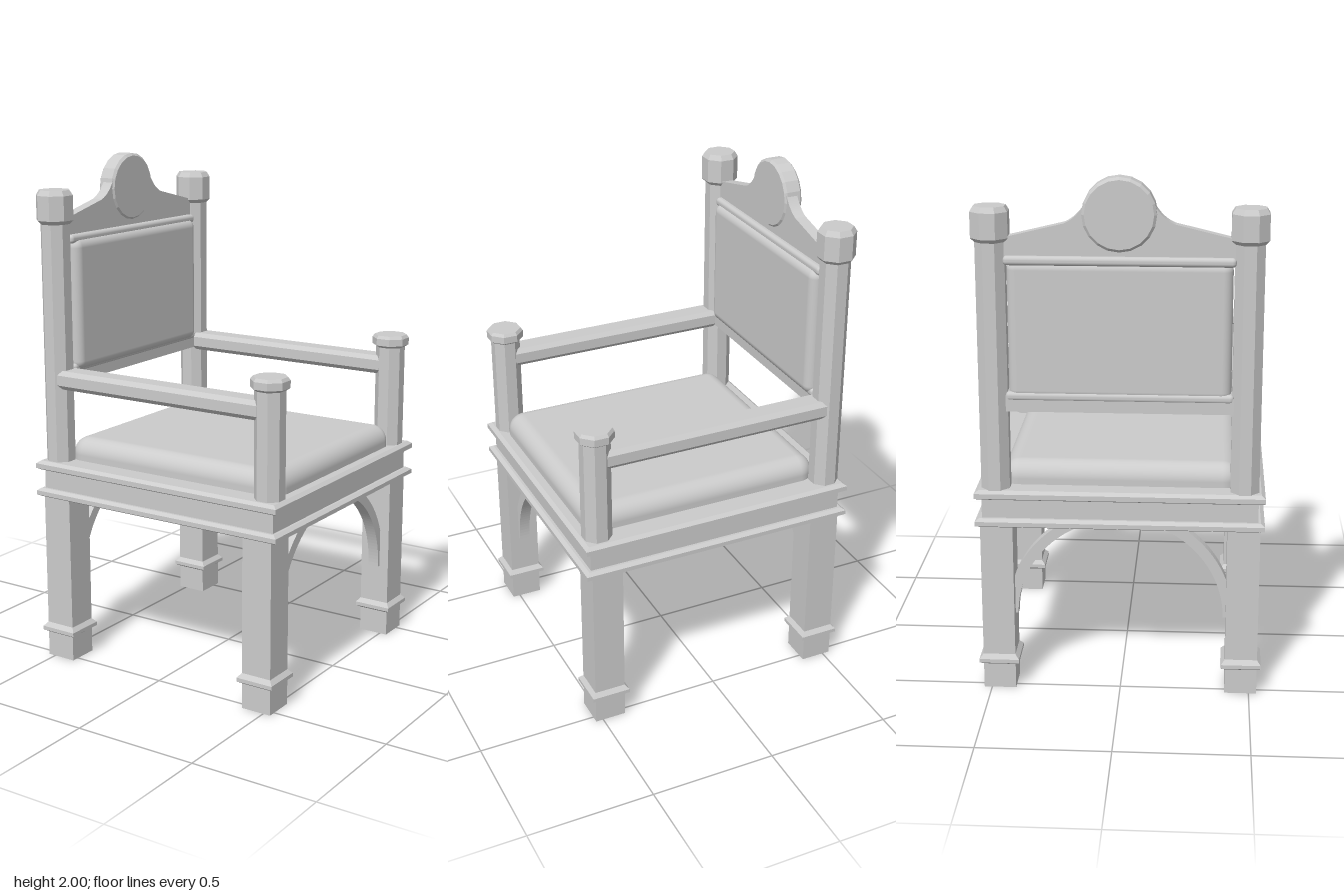
import * as THREE from 'three';
import { RoundedBoxGeometry } from 'three/addons/geometries/RoundedBoxGeometry.js';

const flat = new THREE.MeshStandardMaterial({ color: 0xcccccc, flatShading: true });
const smooth = new THREE.MeshStandardMaterial({ color: 0xcccccc });

export function createModel() {
  const chair = new THREE.Group();

  const add = (name, geometry, x, y, z, material = flat) => {
    const mesh = new THREE.Mesh(geometry, material);
    mesh.name = name;
    mesh.position.set(x, y, z);
    chair.add(mesh);
    return mesh;
  };

  // Prism with flats along the axes; profile is [half width, y] from bottom to top
  const prism = (sides, profile) => {
    const k = 1 / Math.cos(Math.PI / sides);
    const points = profile.map(([r, y]) => new THREE.Vector2(r * k, y));
    return new THREE.LatheGeometry(points, sides, Math.PI / sides);
  };

  // Shape drawn in the z-y plane, given thickness along x
  const slab = (shape, depth) =>
    new THREE.ExtrudeGeometry(shape, { depth, bevelEnabled: false, curveSegments: 16 })
      .translate(0, 0, -depth / 2).rotateY(Math.PI / 2);

  // Seat frame with projecting lips above and below
  const frame = prism(4, [
    [0, 0.675], [0.535, 0.675], [0.55, 0.683], [0.55, 0.7], [0.535, 0.71], [0.525, 0.71],
    [0.525, 0.785], [0.535, 0.785], [0.55, 0.793], [0.55, 0.812], [0.535, 0.823], [0, 0.823],
  ]);
  add('seatFrame', frame, 0, 0, 0).scale.set(1.013, 1, 0.992);

  // Seat cushion
  add('seatCushion', new RoundedBoxGeometry(0.98, 0.16, 0.9, 5, 0.065), 0.02, 0.83, 0, smooth);

  const leg = prism(4, [
    [0, 0], [0.062, 0], [0.062, 0.1], [0.077, 0.11], [0.077, 0.125],
    [0.062, 0.142], [0.062, 0.69], [0, 0.69],
  ]);
  const backPost = prism(8, [
    [0, 0.81], [0.054, 0.81], [0.054, 1.76], [0.068, 1.775],
    [0.068, 1.87], [0.056, 1.89], [0, 1.89],
  ]);
  const frontPost = prism(8, [
    [0, 0.81], [0.054, 0.81], [0.054, 1.23], [0.068, 1.24],
    [0.068, 1.268], [0.06, 1.28], [0, 1.28],
  ]);

  // Curved bracket between leg and frame
  const arc = new THREE.Shape();
  arc.absarc(0, 0, 0.435, 0, 1.22, false);
  arc.absarc(0, 0, 0.395, 1.22, 0, true);
  arc.closePath();
  const bracket = slab(arc, 0.045);

  // Armrest section with chamfered edges
  const armSection = new THREE.Shape([
    [-0.05, -0.02], [-0.035, -0.037], [0.035, -0.037], [0.05, -0.02],
    [0.05, 0.02], [0.035, 0.037], [-0.035, 0.037], [-0.05, 0.02],
  ].map(([x, y]) => new THREE.Vector2(x, y)));
  const arm = slab(armSection, 0.93).rotateY(0);
  arm.copy(new THREE.ExtrudeGeometry(armSection, { depth: 0.93, bevelEnabled: false })
    .translate(0, 0, -0.465).rotateY(Math.PI / 2));

  for (const s of [1, -1]) {
    add('backPost', backPost, -0.49, 0, s * 0.468);
    add('frontPost', frontPost, 0.484, 0, s * 0.468);
    add('armrest', arm, 0, 1.155, s * 0.466);
    for (const x of [-0.468, 0.468]) {
      add('leg', leg, x, 0, s * 0.468);
      add('legBracket', bracket, x, 0.3, 0).rotation.y = s > 0 ? Math.PI : 0;
    }
  }

  // Padded back panel between two rails
  add('backPanel', new RoundedBoxGeometry(0.096, 0.52, 0.82, 4, 0.035), -0.48, 1.435, 0, smooth);
  add('lowerBackRail', new THREE.BoxGeometry(0.075, 0.06, 0.84), -0.492, 1.16, 0);
  const bead = new RoundedBoxGeometry(0.085, 0.035, 0.84, 3, 0.015);
  add('lowerBackBead', bead, -0.49, 1.187, 0, smooth);
  add('upperBackBead', bead, -0.49, 1.695, 0, smooth);

  // Crest rising from the posts to the medallion
  const crest = new THREE.Shape();
  crest.moveTo(-0.43, 1.69);
  crest.lineTo(0.43, 1.69);
  crest.lineTo(0.43, 1.775);
  crest.lineTo(0.2, 1.83);
  crest.quadraticCurveTo(0.15, 1.85, 0.12, 1.91);
  crest.lineTo(-0.12, 1.91);
  crest.quadraticCurveTo(-0.15, 1.85, -0.2, 1.83);
  crest.lineTo(-0.43, 1.775);
  crest.closePath();
  add('backCrest', slab(crest, 0.045), -0.492, 0, 0);

  // Round medallion with a softened rim
  const disc = new THREE.LatheGeometry([
    [0, -0.037], [0.125, -0.037], [0.135, -0.028],
    [0.135, 0.028], [0.125, 0.037], [0, 0.037],
  ].map(([r, y]) => new THREE.Vector2(r, y)), 20);
  add('crestMedallion', disc, -0.5, 1.865, 0).rotation.z = Math.PI / 2;

  return chair;
}
